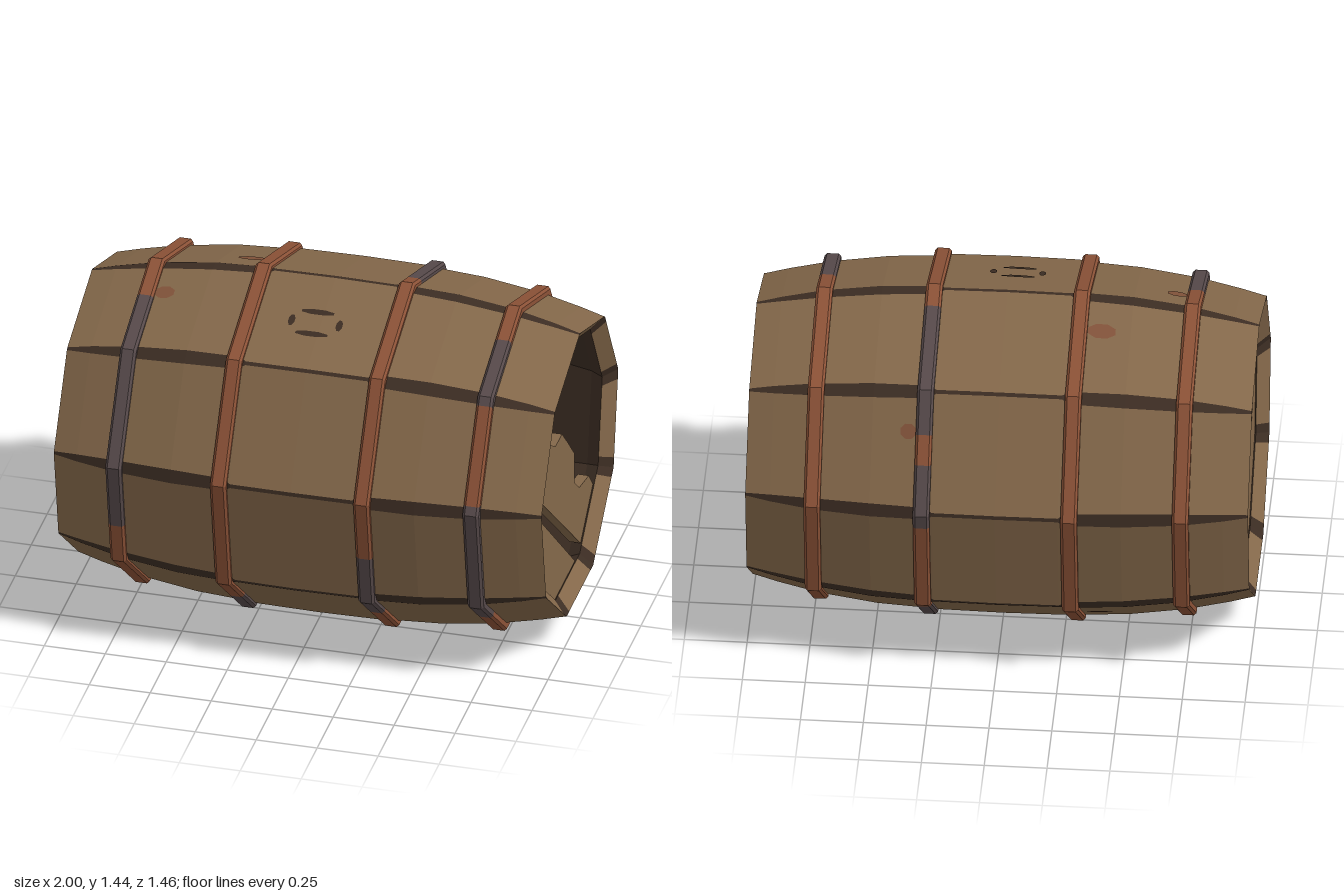
import * as THREE from 'three';

const CY = 0.70, DEG = Math.PI / 180;
const mat = (name, color) => Object.assign(new THREE.MeshStandardMaterial({ color }), { name });

// point on a nine-sided ring around the x axis; angle runs from the top toward +z
function ring(x, r, deg) {
  const local = ((deg % 40) + 40) % 40 - 20;
  const d = r * Math.cos(20 * DEG) / Math.cos(local * DEG);
  return [x, CY + d * Math.cos(deg * DEG), d * Math.sin(deg * DEG)];
}

// faceted skin over rows of points
function loft(rows) {
  const p = [];
  for (let i = 0; i < rows.length - 1; i++) {
    for (let j = 0; j < rows[i].length - 1; j++) {
      const a = rows[i][j], b = rows[i][j + 1], c = rows[i + 1][j + 1], d = rows[i + 1][j];
      p.push(...a, ...b, ...c, ...a, ...c, ...d);
    }
  }
  const g = new THREE.BufferGeometry();
  g.setAttribute('position', new THREE.Float32BufferAttribute(p, 3));
  g.computeVertexNormals();
  return g;
}

// barrel half profile: distance along axis, radius, half width of the seam
const half = [[0, 0.725, 0.008], [0.25, 0.722, 0.008], [0.28, 0.721, 0.026], [0.5, 0.709, 0.029],
  [0.73, 0.677, 0.025], [0.9, 0.638, 0.015], [1, 0.61, 0.006]];
const profile = [...half.slice(1).reverse().map(([x, r, w]) => [-x, r, w]), ...half];

function radiusAt(x) {
  const i = Math.max(1, profile.findIndex(s => s[0] >= x));
  const [a, b] = [profile[i - 1], profile[i]];
  return a[1] + (b[1] - a[1]) * (x - a[0]) / (b[0] - a[0]);
}

// keep the part of a polygon where n·p lies on one side of a limit
function clip(poly, nx, ny, limit) {
  const out = [];
  poly.forEach((a, i) => {
    const b = poly[(i + 1) % poly.length];
    const da = a[0] * nx + a[1] * ny - limit, db = b[0] * nx + b[1] * ny - limit;
    if (da >= 0) out.push(a);
    if (da * db < 0) {
      const t = da / (da - db);
      out.push([a[0] + (b[0] - a[0]) * t, a[1] + (b[1] - a[1]) * t]);
    }
  });
  return out;
}

export function createModel() {
  const root = new THREE.Group();
  root.name = 'barrel';
  const wood = mat('wood', 0x84684a);
  const dark = mat('darkWood', 0x3c2d23);
  const rust = mat('rustyIron', 0x8c5237);
  const iron = mat('greyIron', 0x574a4b);
  const stain = mat('rustStain', 0x82533a);

  const add = (name, geo, material, parent = root) => {
    const m = new THREE.Mesh(geo, material);
    m.name = name;
    parent.add(m);
    return m;
  };
  const group = name => {
    const g = new THREE.Group();
    g.name = name;
    root.add(g);
    return g;
  };

  // staves, seams and bevelled rims
  const staves = group('staves'), seams = group('seams'), rims = group('rims');
  const rimRows = { right: [[1, 0.61], [0.95, 0.55]], left: [[-0.95, 0.55], [-1, 0.61]] };
  for (let i = 0; i < 9; i++) {
    const a = i * 40, b = a + 40;
    const off = (r, w) => w / r / DEG;
    add('stave', loft(profile.map(([x, r, w]) => [ring(x, r, a + off(r, w)), ring(x, r, b - off(r, w))])), wood, staves);
    add('seam', loft(profile.map(([x, r, w]) => [ring(x, r, a - off(r, w)), ring(x, r, a + off(r, w))])), dark, seams);
    for (const rows of Object.values(rimRows)) {
      const e = 3.8;
      add('rimEdge', loft(rows.map(([x, r]) => [ring(x, r, a + e), ring(x, r, b - e)])), wood, rims);
      add('rimCorner', loft(rows.map(([x, r]) => [ring(x, r, a - e), ring(x, r, a), ring(x, r, a + e)])), dark, rims);
    }
  }

  // dark inner wall, facing inward
  const corners = Array.from({ length: 10 }, (_, i) => i * 40);
  const inner = [[0.95, 0.55], ...profile.filter(s => Math.abs(s[0]) < 0.95).reverse().map(([x, r]) => [x, r - 0.06]), [-0.95, 0.55]];
  add('innerWall', loft(inner.map(([x, r]) => corners.map(t => ring(x, r, t)))), dark);

  // iron hoops; each patch is a grey range of angles, the rest is rusty
  const hoops = [
    { x: -0.735, r: 0.70, w: 0.033, grey: [[16, 105]] },
    { x: -0.295, r: 0.742, w: 0.033, grey: [[141, 170]] },
    { x: 0.292, r: 0.742, w: 0.033, grey: [[102, 136], [195, 235], [275, 296], [306, 352]] },
    { x: 0.73, r: 0.70, w: 0.033, grey: [[15, 43], [77, 136]] },
  ];
  for (const { x, r, w, grey } of hoops) {
    const hoop = group('hoop');
    const section = [[-w, -0.05], [-w, -0.01], [-w + 0.01, 0], [w - 0.01, 0], [w, -0.01], [w, -0.05]];
    const stops = [...new Set([...corners, ...grey.flat()])].sort((p, q) => p - q);
    for (const isGrey of [true, false]) {
      for (let k = 0; k < stops.length - 1; k++) {
        const mid = (stops[k] + stops[k + 1]) / 2;
        if (grey.some(([s, e]) => mid > s && mid < e) !== isGrey) continue;
        add(isGrey ? 'greyBand' : 'rustyBand', loft(section.map(([dx, dr]) =>
          [ring(x + dx, r + dr, stops[k]), ring(x + dx, r + dr, stops[k + 1])])), isGrey ? iron : rust, hoop);
      }
    }
  }

  // end boards: diagonal planks cut out of the nine-sided head
  const headShape = Array.from({ length: 9 }, (_, i) =>
    [-0.552 * Math.sin(i * 40 * DEG), 0.552 * Math.cos(i * 40 * DEG)]);
  const nx = 0.67, ny = 0.742;
  const plank = (lo, hi) => clip(clip(headShape, nx, ny, lo), -nx, -ny, -hi);
  const board = (name, pts, x, depth, material) => {
    const g = new THREE.ExtrudeGeometry(new THREE.Shape(pts.map(p => new THREE.Vector2(...p))),
      { depth, bevelEnabled: false });
    g.rotateY(Math.PI / 2);
    g.translate(x, CY, 0);
    add(name, g, material);
  };
  board('leftHeadBacking', headShape, -0.925, 0.03, dark);
  for (const [lo, hi] of [[-9, -0.296], [-0.228, 0.228], [0.296, 9]]) {
    board('leftHeadPlank', plank(lo, hi), -0.945, 0.02, wood);
  }
  board('rightHeadPlank', plank(-9, -0.296), 0.9, 0.045, wood);
  board('brokenPlank', [[-0.515, 0.15], [-0.365, 0.41], [-0.365, 0.36], [-0.3, 0.29], [-0.25, 0.23], [-0.17, 0.18],
    [-0.07, 0.18], [0.03, 0.08], [0.125, -0.02], [0.13, -0.16], [0.2, -0.22], [0.35, -0.25], [0.415, -0.325],
    [0.22, -0.487]], 0.9, 0.045, wood);

  // thin octagonal marks on the staves
  const mark = (name, x, deg, hx, hd, material) => {
    const p = (k) => {
      const t = (k + 0.5) * 45 * DEG;
      const px = x + hx * 1.08 * Math.cos(t);
      return ring(px, radiusAt(px) + 0.004, deg + hd * 1.08 * Math.sin(t));
    };
    const c = ring(x, radiusAt(x) + 0.004, deg);
    const rim = Array.from({ length: 9 }, (_, k) => p(-k));
    add(name, loft([rim, rim.map(() => c)]), material);
  };
  mark('rustStain', -0.385, -13.5, 0.055, 2.8, stain);
  mark('rustStain', -0.665, 13, 0.04, 2.6, stain);
  mark('rustStain', 0.355, -53, 0.032, 2.5, stain);
  mark('rustStain', -0.40, -138, 0.05, 2.8, stain);
  mark('knotLine', -0.025, 15.6, 0.066, 1.1, dark);
  mark('knotLine', -0.025, 25.1, 0.066, 1.1, dark);
  mark('knotLine', -0.12, 20.2, 0.013, 2.3, dark);
  mark('knotLine', 0.075, 20.2, 0.013, 2.3, dark);
  return root;
}
